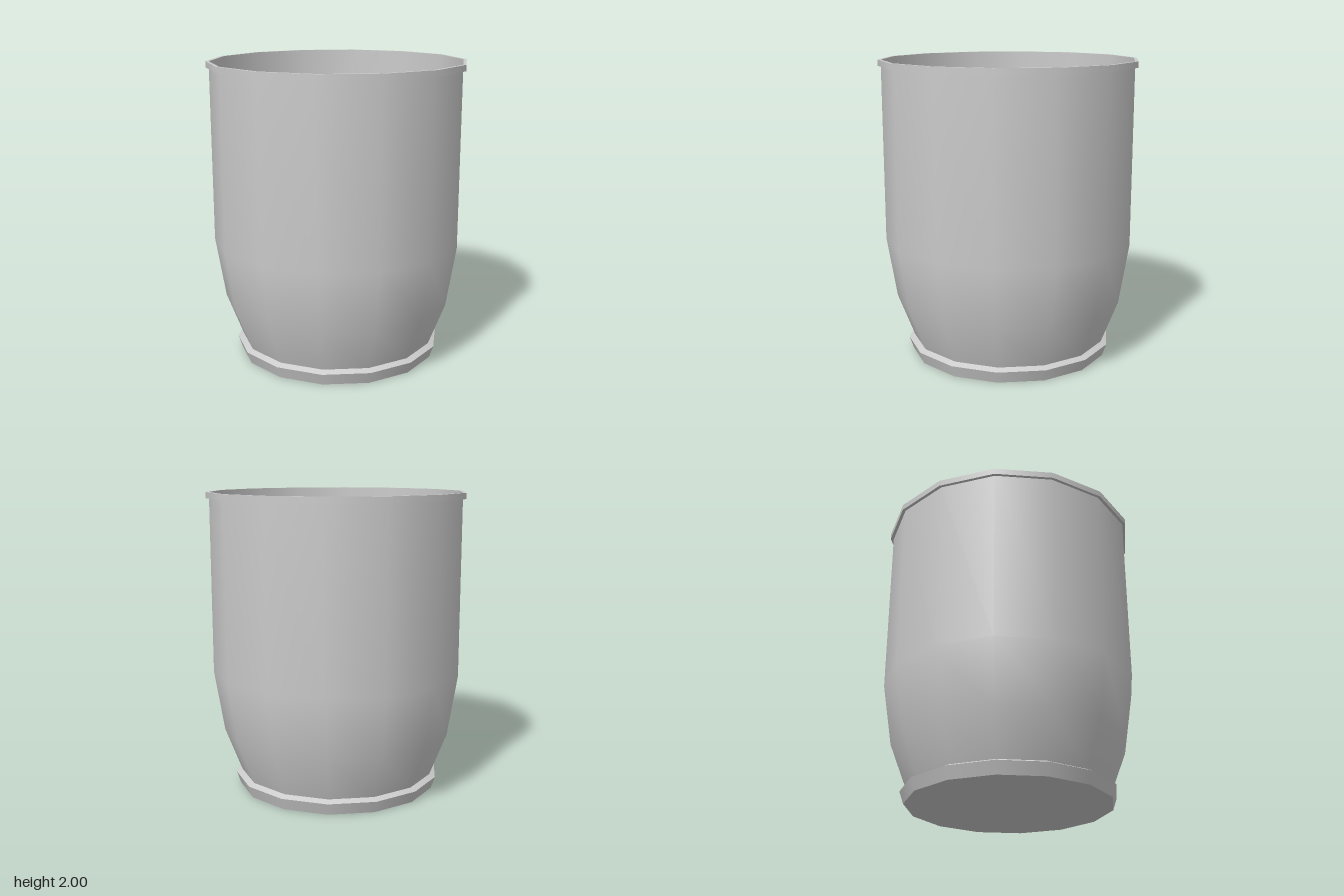
import * as THREE from 'three';

const SIDES = 14;

// Turns one smooth band around the y axis; upward profiles face outwards.
function band(name, profile, material) {
  const points = profile.map(([r, y]) => new THREE.Vector2(r, y));
  const mesh = new THREE.Mesh(new THREE.LatheGeometry(points, SIDES, Math.PI / 2), material);
  mesh.name = name;
  return mesh;
}

export function createModel() {
  const model = new THREE.Group();
  model.name = 'cup';
  const grey = new THREE.MeshStandardMaterial({ color: 0xcccccc });

  // Each part is split into bands so that its edges stay sharp.
  const parts = {
    // flared foot
    foot: [
      [[0, 0], [0.675, 0]],
      [[0.675, 0], [0.702, 0.08]],
      [[0.702, 0.08], [0.663, 0.098]],
    ],
    // outer wall, tapering below the middle
    body: [[[0.663, 0.098], [0.775, 0.39], [0.841, 0.8], [0.841, 1.96]]],
    // lip around the opening
    rim: [
      [[0.841, 1.96], [0.862, 1.96]],
      [[0.862, 1.96], [0.862, 2]],
      [[0.862, 2], [0.84, 2]],
    ],
    // inner wall and floor
    inside: [
      [[0.84, 2], [0.838, 0.8], [0.772, 0.39], [0.665, 0.11]],
      [[0.665, 0.11], [0, 0.11]],
    ],
  };

  for (const [name, bands] of Object.entries(parts)) {
    const group = new THREE.Group();
    group.name = name;
    bands.forEach((profile, i) => group.add(band(`${name}Band${i + 1}`, profile, grey)));
    model.add(group);
  }
  return model;
}
